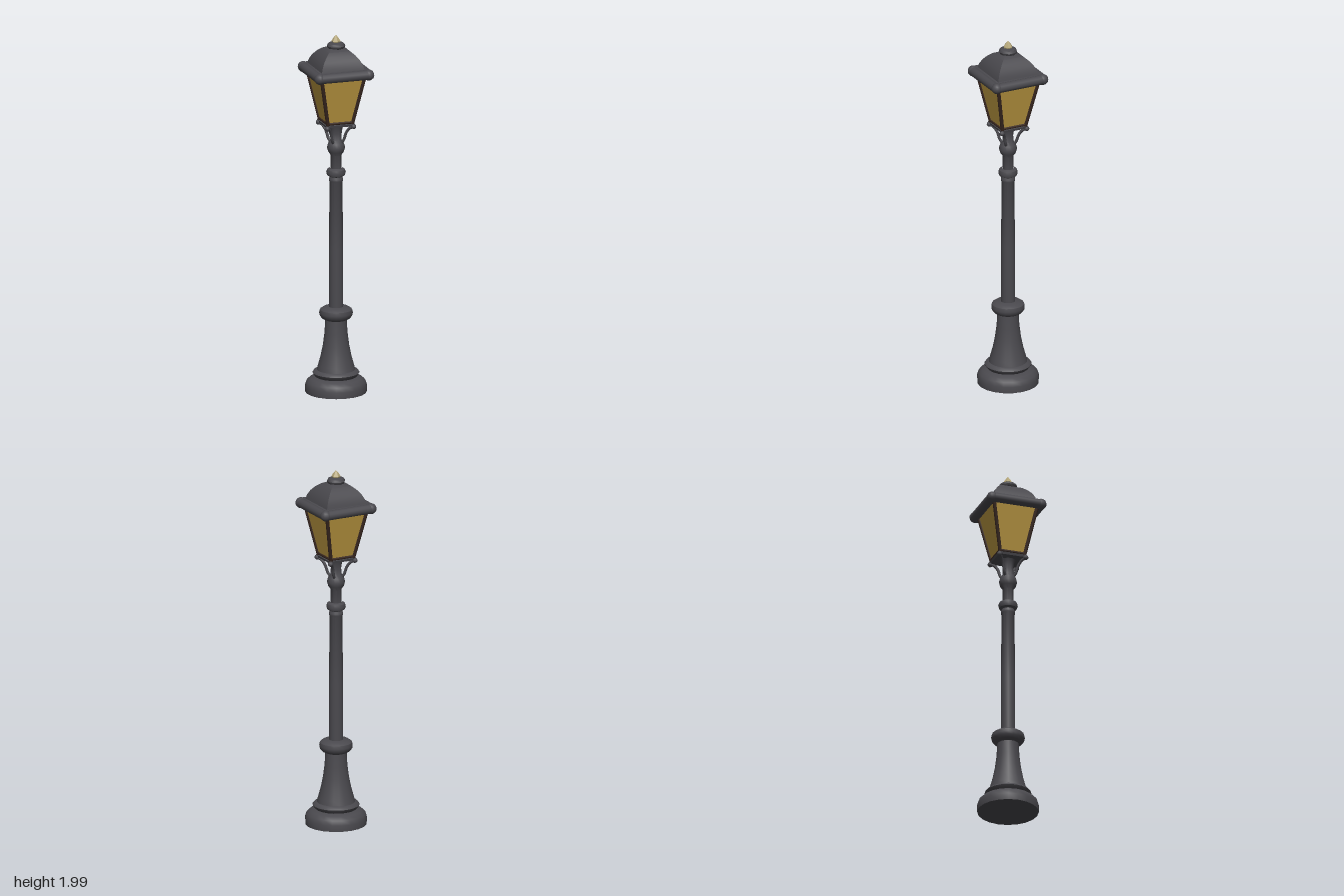
import * as THREE from 'three';
import { toCreasedNormals } from 'three/addons/utils/BufferGeometryUtils.js';

const mat = (name, color) => {
  const m = new THREE.MeshStandardMaterial({ color });
  m.name = name;
  return m;
};

export function createModel() {
  const iron = mat('dark iron', 0x4a494e);
  const frame = mat('brown frame', 0x37261f);
  const glass = mat('amber glass', 0xb8953f);
  const brass = mat('pale brass', 0xb3a578);

  const model = new THREE.Group();
  model.name = 'streetLamp';

  const add = (name, geo, material, parent = model) => {
    const mesh = new THREE.Mesh(geo, material);
    mesh.name = name;
    parent.add(mesh);
    return mesh;
  };
  // Profile of [radius, height] pairs, bottom to top
  const lathe = (pts, sides = 20, crease = 0.7) => toCreasedNormals(
    new THREE.LatheGeometry(pts.map(([r, y]) => new THREE.Vector2(r, y)), sides), crease);
  // Square section version: pairs of [half width, height]
  const square = (pts) => toCreasedNormals(
    new THREE.LatheGeometry(pts.map(([h, y]) => new THREE.Vector2(h * Math.SQRT2, y)), 4, Math.PI / 4), 0.7);
  // Round bar between two points
  const bar = (name, a, b, r, material, parent, sides = 10) => {
    const d = b.clone().sub(a);
    const mesh = add(name, new THREE.CylinderGeometry(r, r, d.length(), sides), material, parent);
    mesh.position.copy(a).add(b).multiplyScalar(0.5);
    mesh.quaternion.setFromUnitVectors(new THREE.Vector3(0, 1, 0), d.normalize());
    return mesh;
  };
  const V = (x, y, z) => new THREE.Vector3(x, y, z);

  // Post
  add('base', lathe([[0, 0.01], [0.166, 0.01], [0.168, 0.045], [0.16, 0.07], [0.14, 0.087], [0.112, 0.096], [0, 0.1]]), iron);
  add('pedestal', lathe([[0.105, 0.09], [0.12, 0.105], [0.127, 0.118], [0.12, 0.128], [0.104, 0.134],
    [0.097, 0.16], [0.083, 0.21], [0.071, 0.27], [0.062, 0.34], [0.057, 0.43]]), iron);
  add('pedestalCollar', lathe([[0.055, 0.41], [0.076, 0.42], [0.088, 0.435], [0.091, 0.45], [0.087, 0.468], [0.07, 0.48], [0.035, 0.484]]), iron);
  add('pole', lathe([[0.039, 0.47], [0.038, 0.8], [0.035, 1.18], [0.039, 1.188], [0.039, 1.198], [0.034, 1.206], [0.034, 1.23]]), iron);
  add('poleCollar', lathe([[0.033, 1.21], [0.048, 1.218], [0.053, 1.234], [0.048, 1.25], [0.033, 1.258]]), iron);
  add('neck', lathe([[0.03, 1.24], [0.029, 1.33], [0.043, 1.35], [0.049, 1.373], [0.043, 1.396],
    [0.031, 1.415], [0.028, 1.45], [0.034, 1.49], [0.045, 1.51]]), iron);

  // Corner brackets below the lantern
  const corners = [[1, 1], [1, -1], [-1, -1], [-1, 1]];
  const brackets = new THREE.Group();
  brackets.name = 'brackets';
  model.add(brackets);
  for (const [sx, sz] of corners) {
    const path = new THREE.CatmullRomCurve3(
      [[0.02, 1.395], [0.033, 1.42], [0.043, 1.46], [0.058, 1.488], [0.074, 1.499]]
        .map(([h, y]) => V(sx * h, y, sz * h)));
    add('bracket', new THREE.TubeGeometry(path, 12, 0.008, 8), iron, brackets);
    add('bracketKnob', new THREE.SphereGeometry(0.014, 10, 8), iron, brackets).position.set(sx * 0.075, 1.5, sz * 0.075);
  }

  // Lantern
  const lantern = new THREE.Group();
  lantern.name = 'lantern';
  model.add(lantern);
  add('lanternTray', square([[0, 1.502], [0.076, 1.502], [0.08, 1.515], [0, 1.522]]), iron, lantern);
  add('panes', square([[0.07, 1.515], [0.124, 1.79]]), glass, lantern);
  corners.forEach(([sx, sz], i) => {
    const [nx, nz] = corners[(i + 1) % 4];
    bar('cornerPost', V(sx * 0.069, 1.515, sz * 0.069), V(sx * 0.122, 1.785, sz * 0.122), 0.0105, frame, lantern, 8);
    bar('lowerRail', V(sx * 0.071, 1.524, sz * 0.071), V(nx * 0.071, 1.524, nz * 0.071), 0.008, frame, lantern, 8);
    // Rounded eave with swollen corners
    bar('eave', V(sx * 0.141, 1.799, sz * 0.141), V(nx * 0.141, 1.799, nz * 0.141), 0.026, iron, lantern, 14);
    add('eaveCorner', new THREE.SphereGeometry(0.03, 14, 10), iron, lantern).position.set(sx * 0.139, 1.799, sz * 0.139);
  });
  add('roof', square([[0, 1.782], [0.14, 1.782], [0.14, 1.82], [0.121, 1.825], [0.115, 1.848], [0.102, 1.874],
    [0.083, 1.898], [0.06, 1.918], [0.036, 1.93], [0, 1.932]]), iron, lantern);

  // Crown and finial
  add('crown', lathe([[0.032, 1.92], [0.046, 1.929], [0.05, 1.941], [0.044, 1.953], [0.025, 1.96], [0, 1.961]], 10), iron, lantern);
  add('finial', lathe([[0.02, 1.953], [0.025, 1.966], [0.018, 1.978], [0.008, 1.991], [0, 2]], 6), brass, lantern);

  return model;
}
